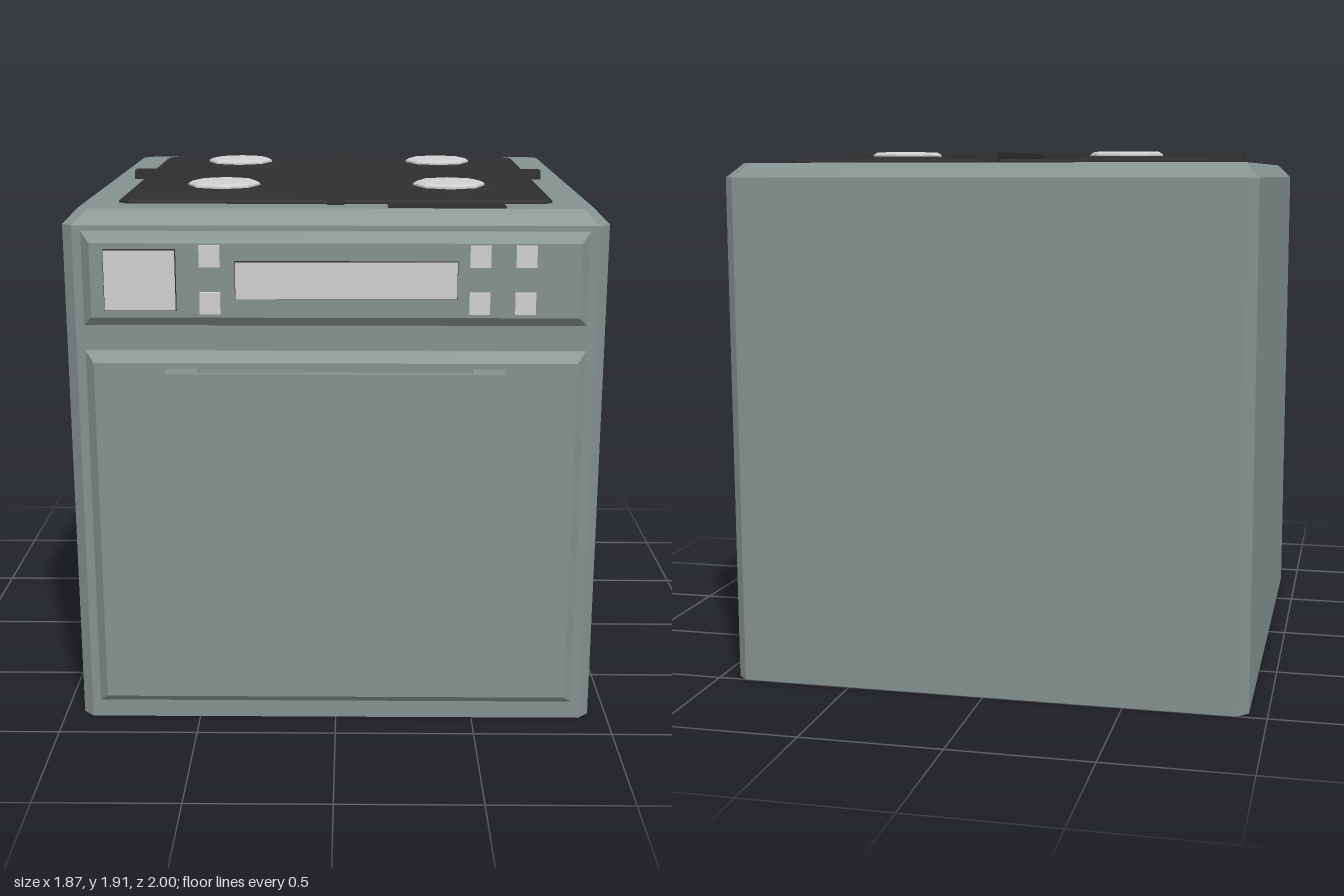
import * as THREE from 'three';

const mat = (name, color) => {
  const m = new THREE.MeshStandardMaterial({ color });
  m.name = name;
  return m;
};

// Closed solid through rectangular sections [y, halfX, halfZ, cornerCut], flat faces
function loft(sections) {
  const loops = sections.map(([y, a, b, c]) => {
    const pts = c
      ? [[a, b - c], [a, c - b], [a - c, -b], [c - a, -b], [-a, c - b], [-a, b - c], [c - a, b], [a - c, b]]
      : [[a, b], [a, -b], [-a, -b], [-a, b]];
    return pts.map(([x, z]) => [x, y, z]);
  });
  const n = loops[0].length, pos = [];
  const tri = (...p) => p.forEach(v => pos.push(...v));
  for (let i = 0; i < loops.length - 1; i++) {
    const lo = loops[i], hi = loops[i + 1];
    for (let j = 0; j < n; j++) {
      const k = (j + 1) % n;
      tri(lo[j], lo[k], hi[k]);
      tri(lo[j], hi[k], hi[j]);
    }
  }
  const bottom = loops[0], top = loops[loops.length - 1];
  for (let j = 1; j < n - 1; j++) {
    tri(top[0], top[j], top[j + 1]);
    tri(bottom[0], bottom[j + 1], bottom[j]);
  }
  const g = new THREE.BufferGeometry();
  g.setAttribute('position', new THREE.Float32BufferAttribute(pos, 3));
  g.computeVertexNormals();
  return g;
}

// Box given by its limits on each axis
function span(x0, x1, y0, y1, z0, z1) {
  return new THREE.BoxGeometry(x1 - x0, y1 - y0, z1 - z0)
    .translate((x0 + x1) / 2, (y0 + y1) / 2, (z0 + z1) / 2);
}

export function createModel() {
  const enamel = mat('greyEnamel', 0x84918f);
  const black = mat('blackIron', 0x2e2e2e);
  const light = mat('lightGrey', 0xcfcfcf);

  const model = new THREE.Group();
  model.name = 'cooker';
  const add = (name, geometry, material, parent = model) => {
    const mesh = new THREE.Mesh(geometry, material);
    mesh.name = name;
    parent.add(mesh);
    return mesh;
  };
  const group = name => {
    const g = new THREE.Group();
    g.name = name;
    model.add(g);
    return g;
  };

  // Cabinet with cut corners and a bevelled top edge
  add('cabinet', loft([
    [0, 0.935, 0.935, 0.038], [1.823, 0.935, 0.935, 0.038], [1.874, 0.885, 0.885, 0.038],
  ]).translate(0, 0, -0.065), enamel);

  // Raised front panels with bevelled rims
  const frontPanel = (name, y0, y1) => {
    const h = (y1 - y0) / 2;
    add(name, loft([
      [0.86, 0.865, h, 0], [0.88, 0.865, h, 0], [0.92, 0.832, h - 0.035, 0],
    ]).rotateX(Math.PI / 2).translate(0, (y0 + y1) / 2, 0), enamel);
  };
  frontPanel('controlPanel', 1.48, 1.805);
  frontPanel('ovenDoor', 0.07, 1.39);

  // Door handle: bar on two posts
  const handle = group('doorHandle');
  add('handleBar', span(-0.58, 0.58, 1.255, 1.335, 0.97, 1), enamel, handle);
  for (const s of [-1, 1]) {
    add('handlePost', span(-0.055, 0.055, 1.255, 1.335, 0.91, 0.97).translate(s * 0.525, 0, 0), enamel, handle);
  }

  // Displays: black housings with light screens
  const controls = group('controls');
  for (const [x0, x1, y0, y1] of [[-0.785, -0.54, 1.54, 1.75], [-0.34, 0.415, 1.58, 1.71]]) {
    add('displayHousing', span(x0, x1, y0, y1, 0.91, 0.933), black, controls);
    add('displayScreen', span(x0 + 0.002, x1 - 0.002, y0 + 0.002, y1 - 0.002, 0.932, 0.936), light, controls);
  }

  // Push buttons in pairs
  for (const x of [-0.425, 0.49, 0.645]) {
    for (const y of [1.567, 1.728]) {
      add('button', span(x - 0.035, x + 0.035, y - 0.037, y + 0.037, 0.91, 0.938), light, controls);
    }
  }

  // Hob plate
  add('hobPlate', loft([
    [1.865, 0.762, 0.762, 0.035], [1.88, 0.762, 0.762, 0.035], [1.887, 0.752, 0.752, 0.035],
  ]).translate(-0.002, 0, -0.068), black);

  // Crossed pan support bars
  add('supportBarLong', span(-0.03, 0.03, 1.876, 1.911, -0.875, 0.735), black);
  add('supportBarWide', span(-0.805, 0.8, 1.876, 1.911, -0.1, -0.04), black);

  // Burners: eight-sided ring and light cap
  for (const x of [-0.418, 0.414]) {
    for (const z of [-0.49, 0.348]) {
      const burner = group('burner');
      burner.position.set(x, 0, z);
      const ring = (name, rTop, rBottom, y0, y1, m) => add(name,
        new THREE.CylinderGeometry(rTop, rBottom, y1 - y0, 8).toNonIndexed().translate(0, (y0 + y1) / 2, 0),
        m, burner).geometry.computeVertexNormals();
      ring('burnerRing', 0.14, 0.19, 1.884, 1.899, black);
      ring('burnerCap', 0.133, 0.133, 1.89, 1.906, light);
      ring('burnerCapTop', 0.118, 0.133, 1.906, 1.915, light);
    }
  }

  // Small hob control strip with raised keys
  const strip = group('hobControls');
  add('controlStrip', span(0.18, 0.585, 1.865, 1.879, 0.67, 0.805), black, strip);
  for (const x of [0.25, 0.38, 0.51]) {
    add('stripKey', span(x - 0.04, x + 0.04, 1.876, 1.884, 0.72, 0.78), black, strip);
  }

  return model;
}
